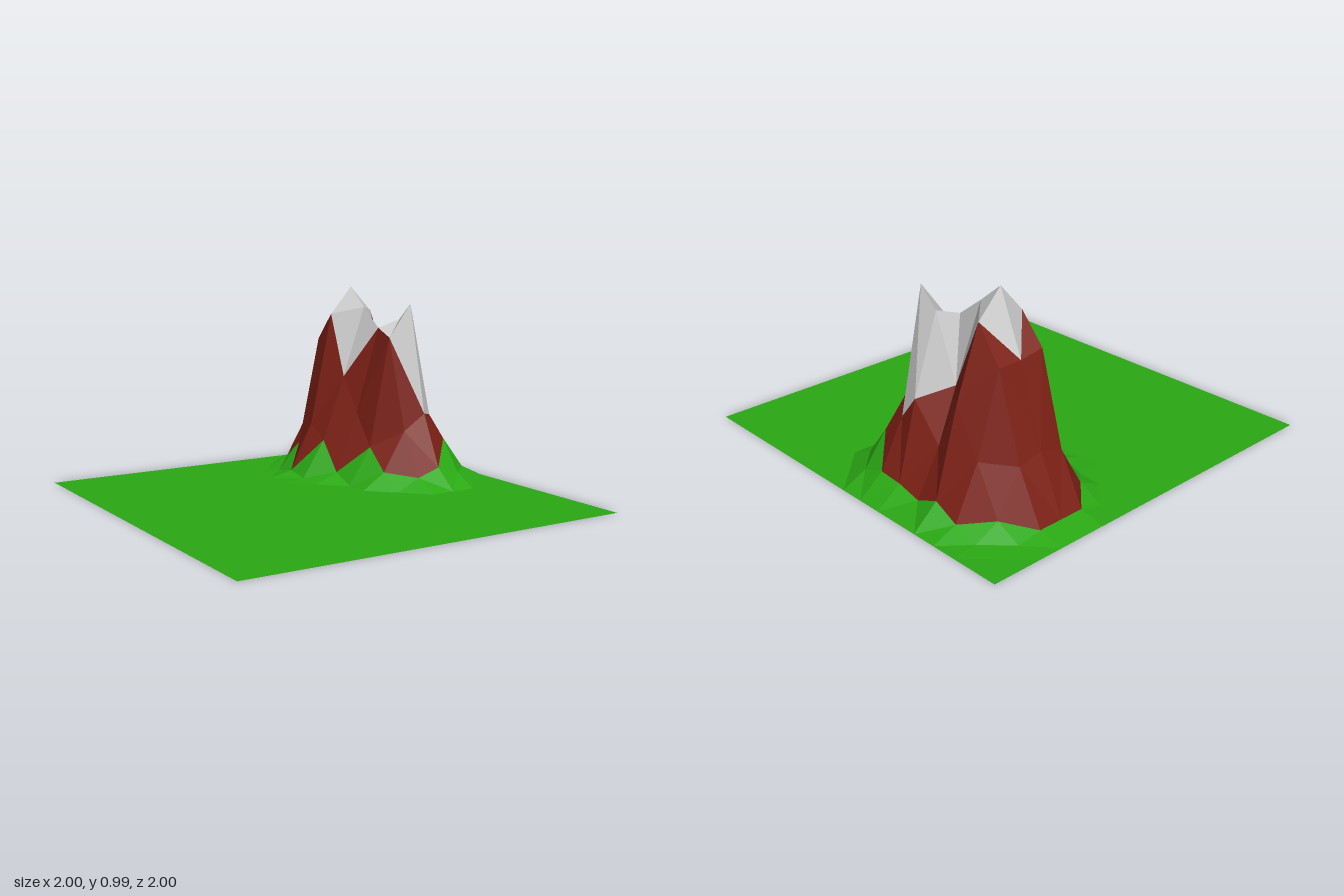
import * as THREE from 'three';

const STEP = 0.125, CELLS = 16;
// Mountain relief: one row per grid line from z = -0.875, columns from x = 0.125
const FIRST_COL = 9, FIRST_ROW = 1;
const RELIEF = [
  [0, 0, 0.03, 0.03, 0.03, 0.01, 0],
  [0, 0.06, 0.27, 0.31, 0.28, 0.07, 0.01],
  [0.01, 0.15, 0.71, 0.69, 0.69, 0.3, 0.05],
  [0.03, 0.27, 0.85, 0.99, 0.86, 0.53, 0.11],
  [0.01, 0.2, 0.53, 0.89, 0.52, 0.28, 0.06],
  [0, 0.05, 0.35, 0.79, 0.83, 0.45, 0.09],
  [0, 0, 0.19, 0.75, 0.92, 0.33, 0.1],
  [0, 0, 0.08, 0.28, 0.36, 0.22, 0.06],
  [0, 0, 0, 0.06, 0.1, 0.06, 0],
];
// Small sideways shifts around the lower summit, keyed "column,row"
const SHIFT = {
  '12,6': [0, 0.01], '13,6': [-0.005, 0.03], '14,6': [0, 0.03],
  '13,5': [0, 0.025], '12,7': [-0.02, 0.015], '13,7': [-0.015, 0.015],
};

function point(i, j) {
  const [dx, dz] = SHIFT[`${i},${j}`] ?? [0, 0];
  const y = RELIEF[j - FIRST_ROW]?.[i - FIRST_COL] ?? 0;
  return new THREE.Vector3(-1 + i * STEP + dx, y, -1 + j * STEP + dz);
}

// Ground cover depends on how high a triangle reaches
function coverOf(tri) {
  const top = Math.max(...tri.map((p) => p.y));
  const z = (tri[0].z + tri[1].z + tri[2].z) / 3;
  if (top > 0.87 || (z > -0.36 && top > 0.8)) return 'snowCap';
  return top > 0.22 ? 'mountainRock' : 'grassGround';
}

export function createModel() {
  const group = new THREE.Group();
  group.name = 'mountainTerrain';
  const colors = { grassGround: 0x2aa814, mountainRock: 0x7c2015, snowCap: 0xcccccc };
  const corners = { grassGround: [], mountainRock: [], snowCap: [] };

  // Split each cell along its more level diagonal
  for (let j = 0; j < CELLS; j++) {
    for (let i = 0; i < CELLS; i++) {
      const a = point(i, j), b = point(i + 1, j);
      const c = point(i, j + 1), d = point(i + 1, j + 1);
      const saddle = i === 12 && j === 5; // crease between the two summits
      const alongAD = !saddle && Math.abs(a.y - d.y) < Math.abs(b.y - c.y);
      const tris = alongAD ? [[a, c, d], [a, d, b]] : [[a, c, b], [b, c, d]];
      for (const tri of tris) corners[coverOf(tri)].push(...tri);
    }
  }

  // One faceted mesh per ground cover
  for (const [name, points] of Object.entries(corners)) {
    const geometry = new THREE.BufferGeometry().setFromPoints(points);
    geometry.computeVertexNormals();
    const material = new THREE.MeshStandardMaterial({
      color: colors[name], flatShading: true, side: THREE.DoubleSide,
    });
    const mesh = new THREE.Mesh(geometry, material);
    mesh.name = name;
    group.add(mesh);
  }
  return group;
}
